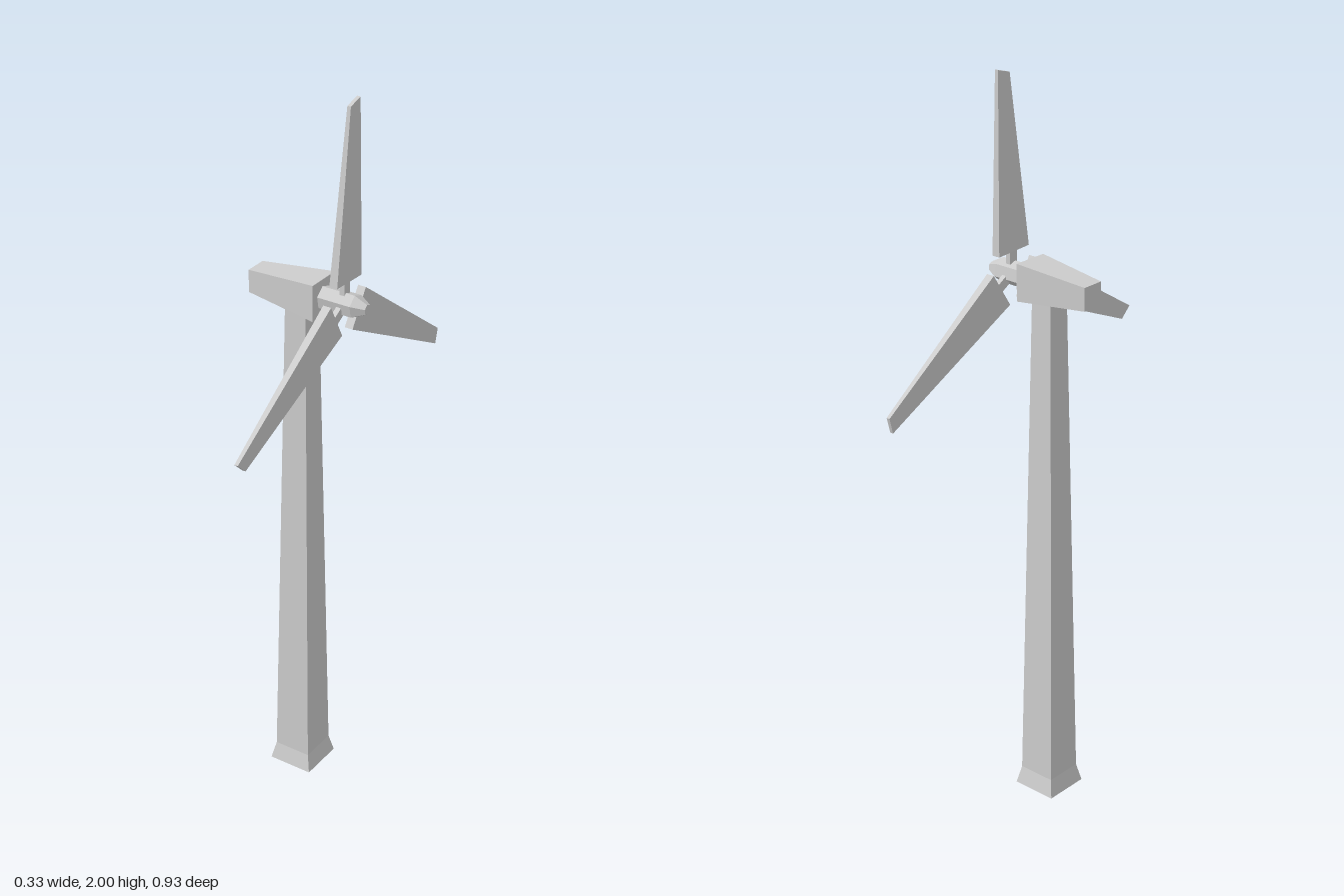
import * as THREE from 'three';

const material = new THREE.MeshStandardMaterial({ color: 0xcccccc, flatShading: true });
const AXIS_Y = 1.47, AXIS_Z = -0.0175, TOWER_X = -0.027;

function addMesh(parent, name, geometry) {
  const mesh = new THREE.Mesh(geometry, material);
  mesh.name = name;
  parent.add(mesh);
  return mesh;
}

// Box whose corners are placed by a rule: each sign is false (low side) or true (high side)
function cornerBox(place) {
  const geometry = new THREE.BoxGeometry(1, 1, 1);
  const p = geometry.attributes.position;
  for (let i = 0; i < p.count; i++) {
    p.setXYZ(i, ...place(p.getX(i) > 0, p.getY(i) > 0, p.getZ(i) > 0));
  }
  geometry.computeVertexNormals();
  return geometry;
}

// Square section narrowing upwards
function squareTaper(y0, half0, y1, half1) {
  return cornerBox((px, py, pz) => {
    const h = py ? half1 : half0;
    return [px ? h : -h, py ? y1 : y0, pz ? h : -h];
  });
}

export function createModel() {
  const model = new THREE.Group();
  model.name = 'windTurbine';

  // Tower with flared foot
  const tower = new THREE.Group();
  tower.name = 'tower';
  tower.position.set(TOWER_X, 0, AXIS_Z);
  model.add(tower);
  addMesh(tower, 'foot', squareTaper(0, 0.064, 0.05, 0.053));
  addMesh(tower, 'mast', squareTaper(0.05, 0.053, 1.43, 0.031));

  // Nacelle, narrowing towards the tail
  const nacelle = addMesh(model, 'nacelle', cornerBox((px, py, pz) => {
    const h = px ? 0.05 : 0.031;
    return [px ? 0.038 : -0.168, py ? h : -h, pz ? h : -h];
  }));
  nacelle.position.set(0, AXIS_Y, AXIS_Z);

  // Rotor turning about x
  const rotor = new THREE.Group();
  rotor.name = 'rotor';
  rotor.position.set(0, AXIS_Y, AXIS_Z);
  model.add(rotor);

  // Six-sided hub and nose
  const hubTurn = THREE.MathUtils.degToRad(-19);
  for (const [name, x0, r0, x1, r1] of [
    ['hub', 0.036, 0.032, 0.133, 0.032],
    ['nose', 0.133, 0.032, 0.167, 0.014],
  ]) {
    const geometry = new THREE.CylinderGeometry(r1, r0, x1 - x0, 6);
    geometry.rotateZ(-Math.PI / 2);
    geometry.rotateX(hubTurn);
    addMesh(rotor, name, geometry).position.x = (x0 + x1) / 2;
  }

  // Tapered blade, slightly swept; z and y of each corner in the rotor plane
  const bladeGeometry = cornerBox((px, py, pz) => {
    const x = px ? 0.111 : py ? 0.101 : 0.088;
    if (py) return pz ? [x, 0.516, -0.001] : [x, 0.528, -0.043];
    return pz ? [x, 0.062, 0.052] : [x, 0.057, -0.059];
  });
  const stalkGeometry = new THREE.BoxGeometry(0.014, 0.05, 0.026);

  for (let i = 0; i < 3; i++) {
    const arm = new THREE.Group();
    arm.name = 'bladeArm';
    arm.rotation.x = (i * Math.PI * 2) / 3;
    rotor.add(arm);
    addMesh(arm, 'blade', bladeGeometry);
    addMesh(arm, 'bladeStalk', stalkGeometry).position.set(0.1, 0.042, 0);
  }

  return model;
}
